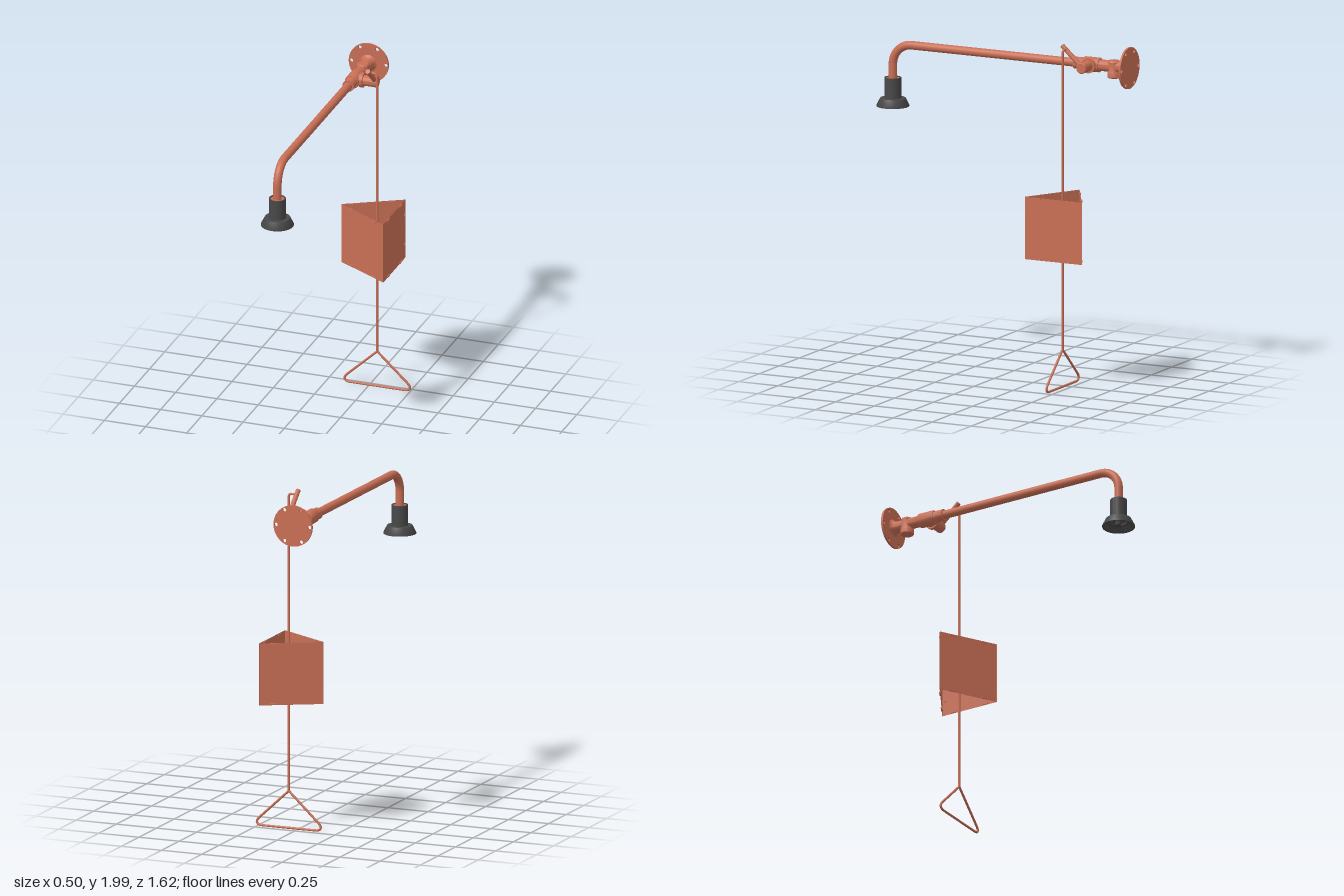
import * as THREE from 'three';
import { toCreasedNormals } from 'three/addons/utils/BufferGeometryUtils.js';

const red = new THREE.MeshStandardMaterial({ color: 0xc96f55 });
const redSheet = new THREE.MeshStandardMaterial({ color: 0xc96f55, side: THREE.DoubleSide });
const dark = new THREE.MeshStandardMaterial({ color: 0x484848 });

const PX = -0.122, PY = 1.867;   // axis of the supply pipe
const RX = 0.052, RZ = -0.466;   // axis of the pull rod
const v3 = (x, y, z) => new THREE.Vector3(x, y, z);

function add(parent, name, geometry, material = red) {
  const mesh = new THREE.Mesh(geometry, material);
  mesh.name = name;
  parent.add(mesh);
  return mesh;
}

// Turned part: profile is [radius, height] from bottom to top
function turned(profile, segments = 32) {
  const points = profile.map(([r, h]) => new THREE.Vector2(r, h));
  return toCreasedNormals(new THREE.LatheGeometry(points, segments), 0.6);
}

// Cylinder between two points
function bar(a, b, r, segments = 24) {
  const d = b.clone().sub(a);
  const g = new THREE.CylinderGeometry(r, r, d.length(), segments);
  g.applyQuaternion(new THREE.Quaternion().setFromUnitVectors(v3(0, 1, 0), d.normalize()));
  const m = a.clone().add(b).multiplyScalar(0.5);
  return g.translate(m.x, m.y, m.z);
}

// Path of straight runs with rounded corners; points are [vector, corner radius]
function roundedPath(points) {
  const path = new THREE.CurvePath();
  let from = points[0][0];
  for (let i = 1; i < points.length; i++) {
    const [p, cut = 0] = points[i];
    if (!cut) {
      path.add(new THREE.LineCurve3(from, p));
      from = p;
      continue;
    }
    const next = points[i + 1][0];
    const a = p.clone().add(points[i - 1][0].clone().sub(p).setLength(cut));
    const b = p.clone().add(next.clone().sub(p).setLength(cut));
    path.add(new THREE.LineCurve3(from, a));
    // cubic approximation of an arc
    path.add(new THREE.CubicBezierCurve3(a, a.clone().lerp(p, 0.55), b.clone().lerp(p, 0.55), b));
    from = b;
  }
  return path;
}

function wallFlange() {
  const shape = new THREE.Shape().absarc(0, 0, 0.12, 0, Math.PI * 2);
  for (let i = 0; i < 6; i++) {
    const a = i * Math.PI / 3;
    shape.holes.push(new THREE.Path().absarc(0.104 * Math.cos(a), 0.104 * Math.sin(a), 0.011, 0, Math.PI * 2, true));
  }
  return new THREE.ExtrudeGeometry(shape, { depth: 0.012, bevelEnabled: false, curveSegments: 24 })
    .translate(PX, PY, -0.808);
}

function buildValve(group) {
  const valve = new THREE.Group();
  valve.name = 'valve';
  group.add(valve);

  // Neck, valve body and pipe socket turned about the pipe axis
  add(valve, 'valveBody', turned([
    [0.052, -0.797], [0.042, -0.79], [0.036, -0.78], [0.033, -0.765], [0.033, -0.62],
    [0.038, -0.62], [0.042, -0.614], [0.042, -0.522], [0.038, -0.515],
    [0.034, -0.515], [0.034, -0.456], [0, -0.456],
  ]).rotateX(Math.PI / 2).translate(PX, PY, 0));

  // Drain branch pointing down
  add(valve, 'drainBranch', turned([
    [0, 1.802], [0.034, 1.802], [0.039, 1.807], [0.039, 1.835], [0.036, 1.84],
    [0.036, 1.895], [0.03, 1.903], [0, 1.903],
  ]).translate(PX, 0, -0.707));

  // Side stem, toward +x
  add(valve, 'valveStem', turned([
    [0, -0.122], [0.034, -0.122], [0.034, -0.084], [0.043, -0.084], [0.043, -0.064],
    [0.031, -0.064], [0.031, 0.018], [0.028, 0.021], [0, 0.021],
  ]).rotateZ(-Math.PI / 2).translate(0, PY, -0.567));

  add(valve, 'lever', bar(v3(0.005, 1.872, -0.567), v3(0.005, 1.987, -0.439), 0.014, 20));
}

// Open three-sided sign around the pull rod
function buildSign(group) {
  const sign = new THREE.Group();
  sign.name = 'sign';
  group.add(sign);
  const corners = [[-0.163, -0.463], [0.157, -0.28], [0.157, -0.645]];
  const width = 0.367, bottom = 0.757, top = 1.12;
  corners.forEach(([x, z], i) => {
    const [x2, z2] = corners[(i + 1) % 3];
    const side = new THREE.Group();
    side.name = 'signSide';
    side.position.set((x + x2) / 2, (bottom + top) / 2, (z + z2) / 2);
    side.rotation.y = Math.atan2(-(z2 - z), x2 - x);
    sign.add(side);
    add(side, 'signPanel', new THREE.PlaneGeometry(width, top - bottom), redSheet);
    // small fastening tabs along the edges
    for (const sy of [-1, 1]) {
      for (const sx of [-1, 1]) {
        add(side, 'edgeTab', new THREE.BoxGeometry(0.04, 0.009, 0.01)).position.set(sx * 0.103, sy * 0.174, 0);
      }
      if (i === 1) add(side, 'cornerTab', new THREE.BoxGeometry(0.012, 0.012, 0.01)).position.set(0.168, sy * 0.092, 0);
    }
  });
}

function buildPullRod(group) {
  const pull = new THREE.Group();
  pull.name = 'pullRod';
  group.add(pull);

  const rod = roundedPath([
    [v3(0.0, 1.968, RZ)], [v3(RX, 1.968, RZ), 0.016], [v3(RX, 0.23, RZ)],
  ]);
  // three tubes, so the bend keeps enough segments
  rod.curves.forEach((c, i) => add(pull, 'rod', new THREE.TubeGeometry(c, i === 1 ? 8 : 1, 0.0068, 12)));
  add(pull, 'rodEnd', new THREE.SphereGeometry(0.0068, 12, 8)).position.set(RX, 0.23, RZ);

  // Triangular hand grip
  const apex = v3(RX, 0.23, RZ);
  const grip = roundedPath([
    [apex], [v3(RX - 0.232, 0.014, RZ), 0.068], [v3(RX + 0.232, 0.014, RZ), 0.068], [apex],
  ]);
  grip.curves.forEach((c) => add(pull, 'handGrip', new THREE.TubeGeometry(c, c.isLineCurve3 ? 1 : 14, 0.0068, 12)));
}

export function createModel() {
  const group = new THREE.Group();
  group.name = 'emergencyShower';

  add(group, 'wallFlange', wallFlange());
  buildValve(group);

  // Supply arm with its bend down to the head
  const arm = roundedPath([
    [v3(PX, PY, -0.47)], [v3(PX, PY, 0.713), 0.12], [v3(PX, 1.64, 0.713)],
  ]);
  arm.curves.forEach((c) => add(group, 'supplyArm', new THREE.TubeGeometry(c, c.isLineCurve3 ? 1 : 20, 0.0245, 28)));

  // Shower head: hollow bell with a central nozzle
  add(group, 'showerHead', turned([
    [0, 1.512], [0.016, 1.512], [0.022, 1.54], [0.044, 1.545], [0.048, 1.53], [0.066, 1.53],
    [0.085, 1.503], [0.094, 1.503], [0.094, 1.508], [0.073, 1.55], [0.048, 1.55],
    [0.048, 1.67], [0.041, 1.67], [0.041, 1.645], [0, 1.645],
  ], 40), dark).position.set(PX, 0, 0.713);
  add(group, 'headCollar', new THREE.CylinderGeometry(0.041, 0.041, 0.02, 24)).position.set(PX, 1.655, 0.713);

  buildSign(group);
  buildPullRod(group);
  return group;
}
